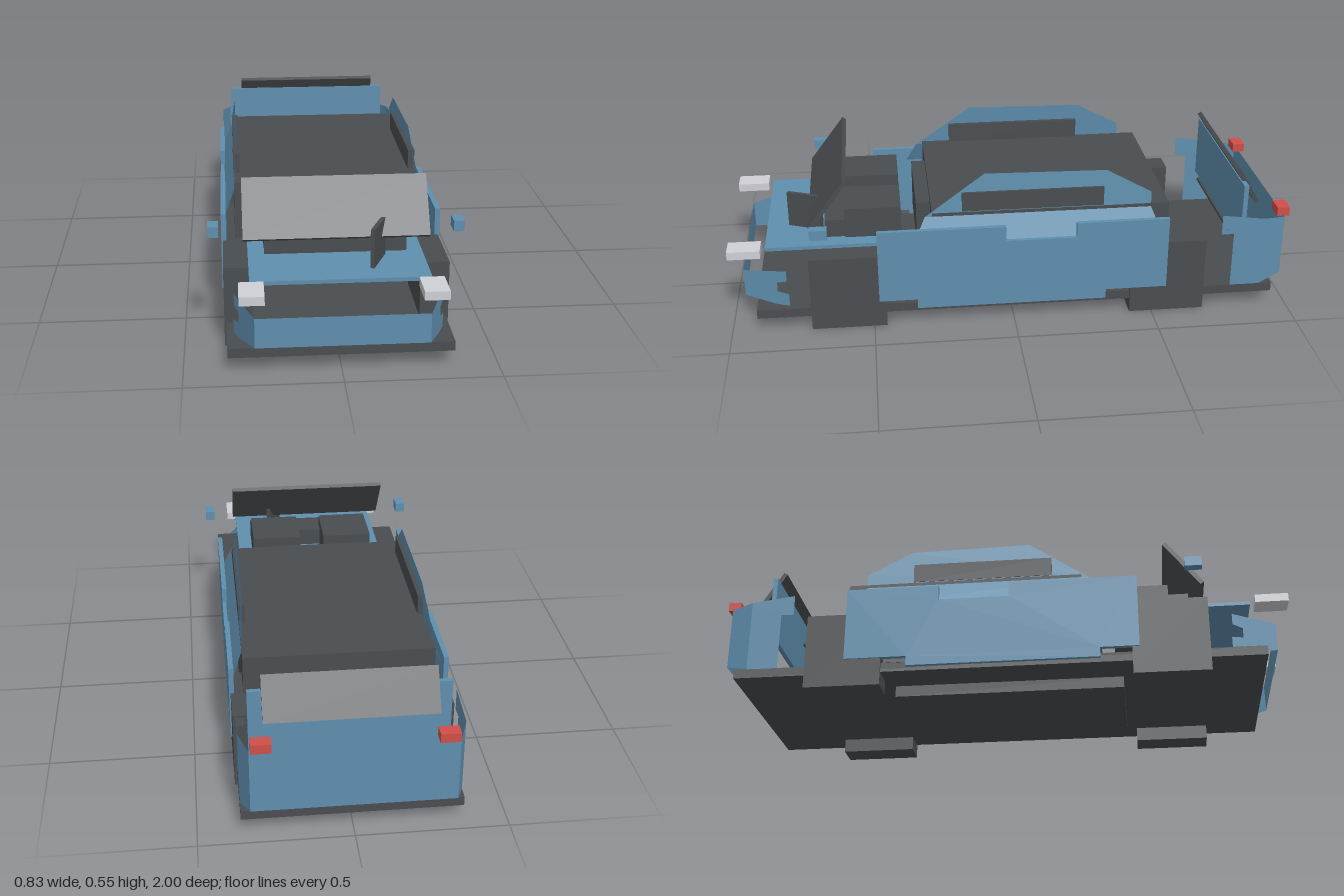
import * as THREE from 'three';

export function createModel() {
  const model = new THREE.Group();
  const mat = (name, color) => {
    const m = new THREE.MeshStandardMaterial({ color, side: THREE.DoubleSide });
    m.name = name;
    return m;
  };
  const blue = mat('bodyBlue', 0x5f8fae);
  const grey = mat('darkGrey', 0x4a4d50);
  const red = mat('lampRed', 0xd04f48);
  const white = mat('lampWhite', 0xcfd0d6);

  const add = (name, geometry, material) => {
    const mesh = new THREE.Mesh(geometry, material);
    mesh.name = name;
    model.add(mesh);
    return mesh;
  };

  // Box given by its limits on each axis
  const box = (name, material, [x0, x1], [y0, y1], [z0, z1]) => {
    const mesh = add(name, new THREE.BoxGeometry(x1 - x0, y1 - y0, z1 - z0), material);
    mesh.position.set((x0 + x1) / 2, (y0 + y1) / 2, (z0 + z1) / 2);
    return mesh;
  };
  const pair = (name, material, [x0, x1], y, z) => {
    box(name + 'Left', material, [x0, x1], y, z);
    box(name + 'Right', material, [-x1, -x0], y, z);
  };

  const outline = (points) => new THREE.Shape(points.map((p) => new THREE.Vector2(p[0], p[1])));

  // Mirrored thin side sheets: (z, y) outline, with x set by a rule
  const sheets = (name, points, xOf) => {
    for (const s of [1, -1]) {
      const g = new THREE.ShapeGeometry(outline(points)).toNonIndexed();
      const p = g.attributes.position;
      for (let i = 0; i < p.count; i++) {
        const z = p.getX(i), y = p.getY(i);
        p.setXYZ(i, s * xOf(z, y), y, z);
      }
      g.computeVertexNormals();
      add(name + (s > 0 ? 'Left' : 'Right'), g, blue);
    }
  };

  // Floor and wheel blocks
  box('floorPlate', grey, [-0.36, 0.36], [0.05, 0.083], [-0.945, 0.91]);
  box('underTray', grey, [-0.228, 0.228], [0.01, 0.05], [-0.39, 0.42]);
  pair('frontWheel', grey, [0.273, 0.368], [0, 0.275], [0.455, 0.72]);
  pair('rearWheel', grey, [0.273, 0.368], [0, 0.275], [-0.69, -0.42]);

  // Cabin interior
  box('cabinBlock', grey, [-0.325, 0.325], [0.1, 0.412], [-0.555, 0.285]);
  box('cabinFront', grey, [-0.185, 0.185], [0.21, 0.39], [0.285, 0.335]);
  pair('seat', grey, [0.047, 0.233], [0.21, 0.4], [0.39, 0.59]);
  box('dashboard', grey, [-0.233, 0.233], [0.295, 0.36], [0.54, 0.66]);
  const steering = box('steeringPlate', grey, [0.124, 0.138], [0.29, 0.42], [0.665, 0.795]);
  steering.rotation.y = -0.39;
  pair('sideWindow', grey, [0.303, 0.326], [0.415, 0.485], [-0.32, 0.18]);

  // Door and fender panels
  const door = outline([
    [0.48, 0.37], [0.03, 0.37], [0.03, 0.315], [-0.22, 0.315], [-0.22, 0.37], [-0.55, 0.37],
    [-0.55, 0.1], [-0.33, 0.1], [-0.33, 0.065], [0.345, 0.065], [0.345, 0.1], [0.48, 0.1],
  ]);
  for (const s of [1, -1]) {
    const g = new THREE.ExtrudeGeometry(door, { depth: 0.017, bevelEnabled: false });
    g.rotateY(-Math.PI / 2);
    add(s > 0 ? 'sidePanelLeft' : 'sidePanelRight', g, blue).position.x = s > 0 ? 0.373 : -0.356;
  }

  // Roof side frames and the sloping shoulders beneath them
  sheets('roofFrame', [
    [0.31, 0.4], [0.1, 0.55], [-0.33, 0.543], [-0.49, 0.455], [-0.49, 0.4],
  ], (z, y) => 0.313 + (0.55 - y) * 0.08);
  sheets('shoulder', [
    [0.31, 0.4], [-0.49, 0.4], [-0.53, 0.3], [0.36, 0.3],
  ], (z, y) => 0.325 + (0.4 - y) * 0.4);

  // Hood and mirrors
  box('hood', blue, [-0.287, 0.287], [0.277, 0.29], [0.48, 0.87]);
  pair('mirror', blue, [0.38, 0.415], [0.375, 0.411], [0.647, 0.707]);

  // Front bumper shell
  const plane = (name, w, y0, y1, z, turn) => {
    const g = new THREE.PlaneGeometry(w, y1 - y0);
    if (turn) g.rotateY(Math.PI);
    add(name, g, blue).position.set(0, (y0 + y1) / 2, z);
  };
  plane('frontBumper', 0.55, 0.102, 0.202, 0.952, false);
  sheets('frontBumperCorner', [
    [0.952, 0.102], [0.952, 0.202], [0.8, 0.22], [0.8, 0.18], [0.835, 0.17],
    [0.835, 0.135], [0.795, 0.13], [0.795, 0.075],
  ], (z) => 0.275 + (0.952 - z) * 0.4);

  // Rear bumper shell and tail panel
  plane('rearBumper', 0.66, 0.108, 0.335, -0.982, true);
  sheets('rearBumperCorner', [
    [-0.9, 0.345], [-0.982, 0.335], [-0.982, 0.108], [-0.9, 0.085],
  ], (z) => 0.33 + (z + 0.982) * 0.366);
  sheets('rearBumperSide', [
    [-0.745, 0.365], [-0.745, 0.29], [-0.79, 0.29], [-0.79, 0.07], [-0.84, 0.063],
    [-0.9, 0.085], [-0.9, 0.345],
  ], () => 0.36);
  box('tailPanel', blue, [-0.325, 0.325], [0.23, 0.46], [-0.842, -0.825]);
  box('tailBar', grey, [-0.1, 0.335], [0.295, 0.305], [-0.78, -0.77]);
  box('tailBarEnd', grey, [0.335, 0.36], [0.285, 0.31], [-0.8, -0.755]);

  // Tilted glass panes
  const pane = (name, w, [yTop, zTop], [yLow, zLow]) => {
    const g = new THREE.BoxGeometry(w, Math.hypot(yTop - yLow, zTop - zLow), 0.016);
    const m = add(name, g, grey);
    m.position.set(0, (yTop + yLow) / 2, (zTop + zLow) / 2);
    m.rotation.x = Math.atan2(zTop - zLow, yTop - yLow);
  };
  pane('windshield', 0.606, [0.532, 0.583], [0.364, 0.71]);
  pane('rearWindow', 0.56, [0.503, -0.812], [0.373, -0.892]);

  // Lamps
  pair('headlight', white, [0.243, 0.322], [0.268, 0.297], [0.885, 1]);
  pair('tailLight', red, [0.26, 0.325], [0.336, 0.368], [-1, -0.955]);

  return model;
}
